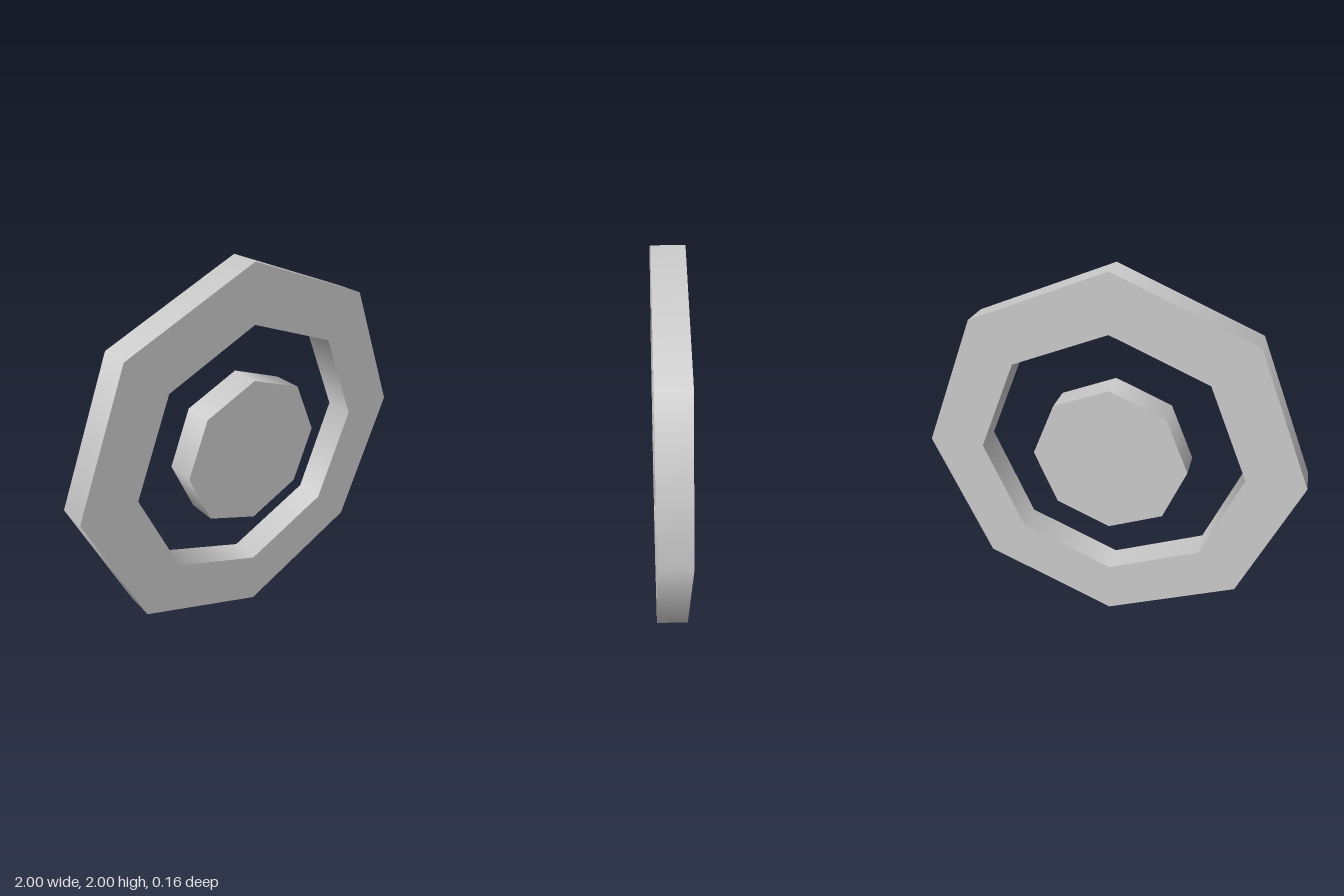
import * as THREE from 'three';
import { mergeGeometries } from 'three/addons/utils/BufferGeometryUtils.js';

const SIDES = 8;
const HALF = 0.078; // half thickness

// Turn each profile edge separately: smooth around the axis, sharp between walls and caps
function turned(profile) {
  const bands = [];
  for (let i = 0; i < profile.length - 1; i++) {
    const edge = [profile[i], profile[i + 1]].map(([r, y]) => new THREE.Vector2(r, y));
    bands.push(new THREE.LatheGeometry(edge, SIDES));
  }
  return mergeGeometries(bands).rotateX(Math.PI / 2);
}

export function createModel() {
  const group = new THREE.Group();
  group.name = 'octagonalRingAndDisc';
  const material = new THREE.MeshStandardMaterial({ color: 0xcccccc });

  const add = (name, profile) => {
    const mesh = new THREE.Mesh(turned(profile), material);
    mesh.name = name;
    mesh.position.y = 1;
    group.add(mesh);
  };

  // Outer ring: outer wall, front, inner wall, back
  add('outerRing', [[1, -HALF], [1, HALF], [0.7, HALF], [0.7, -HALF], [1, -HALF]]);

  // Solid centre disc: back, rim, front
  add('centreDisc', [[0, -HALF], [0.41, -HALF], [0.41, HALF], [0, HALF]]);

  return group;
}
